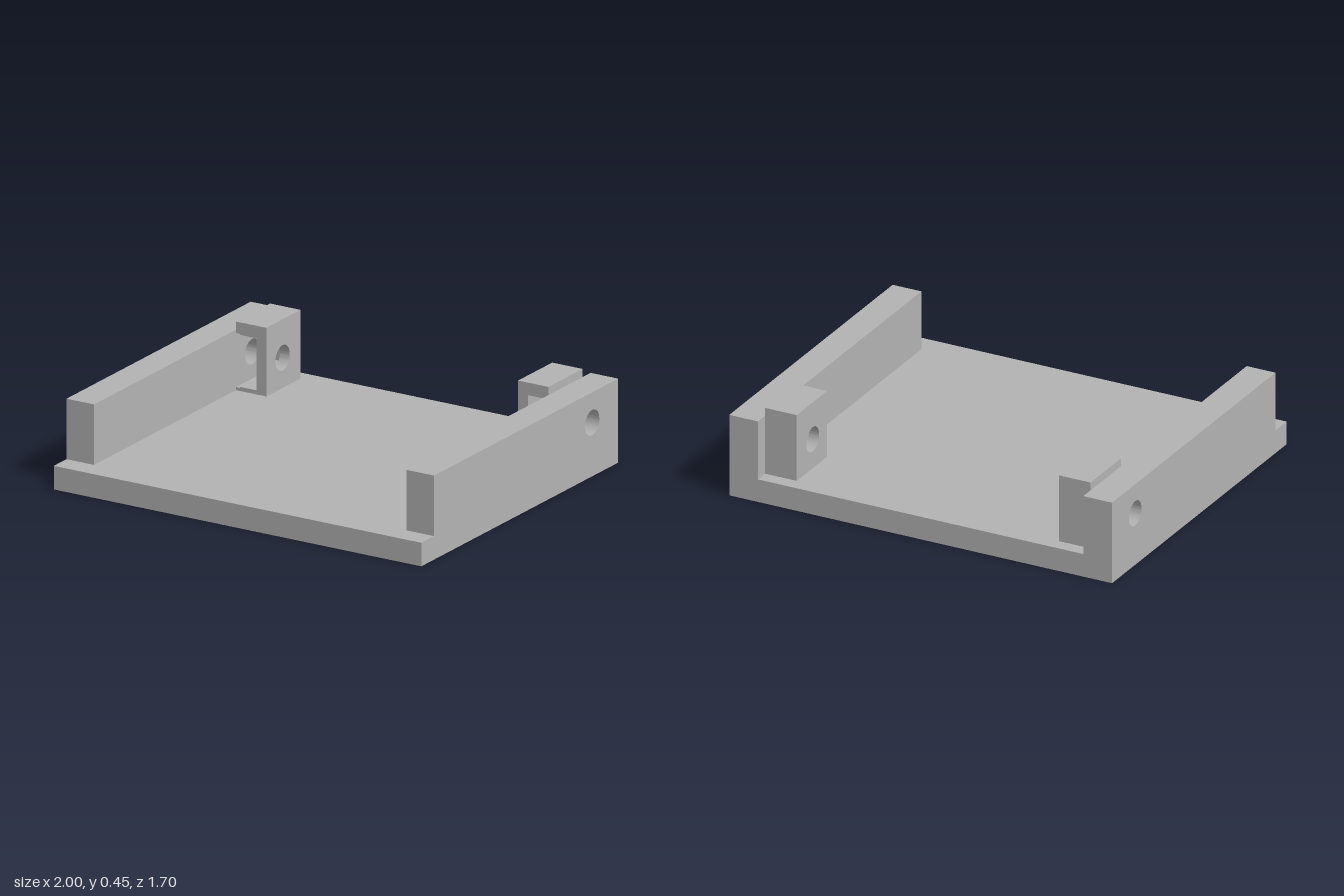
import * as THREE from 'three';
import { toCreasedNormals } from 'three/addons/utils/BufferGeometryUtils.js';

const HOLE_A = 0.625, HOLE_Y = 0.262, HOLE_R = 0.062; // pivot axis, a = -z

// Side profile in (a = -z, y), extruded across x from x0 to x1
function slab(shape, x0, x1) {
  const g = new THREE.ExtrudeGeometry(shape, { depth: x1 - x0, bevelEnabled: false, curveSegments: 32 });
  g.rotateY(Math.PI / 2);
  g.translate(x0, 0, 0);
  return toCreasedNormals(g, 0.6);
}

function profile(points) {
  return new THREE.Shape(points.map(([a, y]) => new THREE.Vector2(a, y)));
}

function addHole(shape) {
  const hole = new THREE.Path();
  hole.absarc(HOLE_A, HOLE_Y, HOLE_R, 0, Math.PI * 2, true);
  shape.holes.push(hole);
  return shape;
}

export function createModel() {
  const group = new THREE.Group();
  const grey = new THREE.MeshStandardMaterial({ color: 0xb3b3b3 });
  grey.name = 'grey';

  const add = (name, geometry) => {
    const mesh = new THREE.Mesh(geometry, grey);
    mesh.name = name;
    group.add(mesh);
  };

  // Floor plate between the rails
  const floor = new THREE.BoxGeometry(1.7, 0.115, 1.7);
  floor.translate(0, 0.0575, 0);
  add('basePlate', floor);

  // Rail with a low step at the front and a pivot hole at the back
  const rail = addHole(profile([
    [-0.85, 0], [0.85, 0], [0.85, 0.41], [-0.74, 0.41], [-0.74, 0.115], [-0.85, 0.115],
  ]));

  // Nut holder: drilled wall, hexagonal slot and round slot, both open to the front
  const front = 0.485, back = 0.78, low = 0.115, high = 0.45;
  const wall = addHole(profile([[front, low], [back, low], [back, high], [front, high]]));

  const slotted = (slotEnd) => profile([
    [front, low], [back, low], [back, high], [front, high],
    [front, slotEnd[0][1]], ...slotEnd, [front, slotEnd[slotEnd.length - 1][1]],
  ]);
  const arcEnd = (radius, steps) => Array.from({ length: steps + 1 }, (_, i) => {
    const t = Math.PI / 2 - (Math.PI * i) / steps;
    return [HOLE_A + radius * Math.cos(t), HOLE_Y + radius * Math.sin(t)];
  });
  const hexSlot = slotted(arcEnd(0.127, 3));
  const roundSlot = slotted(arcEnd(0.132, 24));

  for (const [side, s] of [['left', 1], ['right', -1]]) {
    const put = (name, shape, inner, outer) =>
      add(side + name, slab(shape, Math.min(s * inner, s * outer), Math.max(s * inner, s * outer)));
    put('Rail', rail, 0.85, 1);
    put('HolderWall', wall, 0.685, 0.738);
    put('HolderHexSlot', hexSlot, 0.738, 0.828);
    put('HolderRoundSlot', roundSlot, 0.828, 0.85);
  }
  return group;
}
